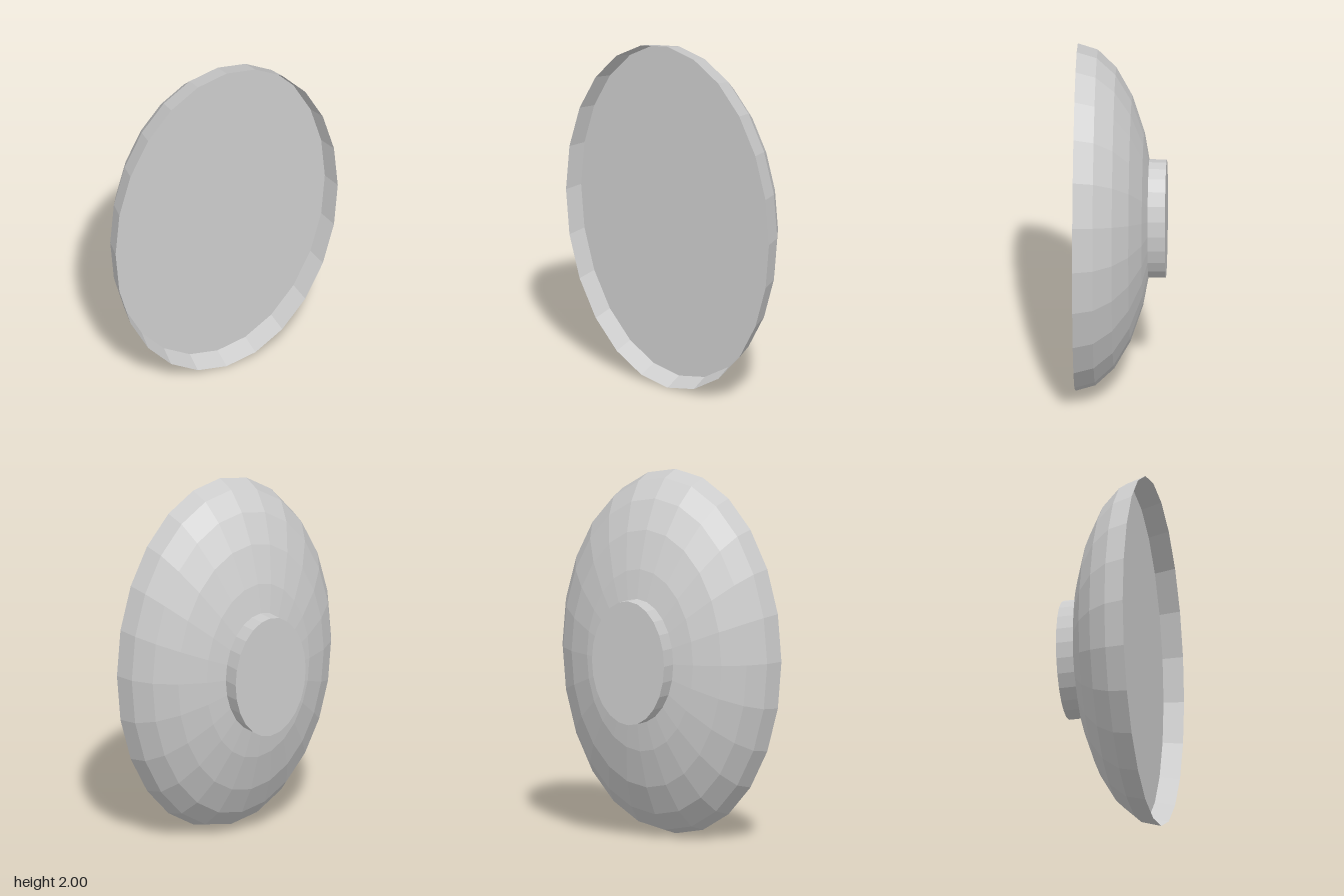
import * as THREE from 'three';

const SIDES = 24;
const WIDTH = 0.676; // x radius of the oval relative to its y radius of 1
const RIM_Z = 0.243;
const DEPTH = 0.42;

export function createModel() {
  const model = new THREE.Group();
  const solid = new THREE.MeshStandardMaterial({ color: 0xcccccc, flatShading: true });
  const shell = solid.clone();
  shell.side = THREE.DoubleSide;

  // Every part is an oval centred on the z axis at mid height
  function add(name, geometry, material) {
    geometry.scale(WIDTH, 1, 1).translate(0, 1, 0);
    const mesh = new THREE.Mesh(geometry, material);
    mesh.name = name;
    model.add(mesh);
  }

  // Domed back shell: a quarter-round profile in 15 degree steps from rim to pole
  const profile = [];
  for (let i = 0; i <= 6; i++) {
    const a = (i * Math.PI) / 12;
    profile.push(new THREE.Vector2(i === 6 ? 0 : Math.cos(a), DEPTH * Math.sin(a) - RIM_Z));
  }
  add('backShell', new THREE.LatheGeometry(profile, SIDES).rotateX(-Math.PI / 2), shell);

  // Flat front panel, recessed to the second ring of the shell
  const panelZ = RIM_Z - DEPTH * Math.sin(Math.PI / 12);
  add('frontPanel', new THREE.CircleGeometry(Math.cos(Math.PI / 12), SIDES).translate(0, 0, panelZ), solid);

  // Short mounting boss on the back
  const bossFront = -0.12, bossBack = -0.243;
  const boss = new THREE.CylinderGeometry(0.34, 0.34, bossFront - bossBack, SIDES)
    .rotateX(-Math.PI / 2)
    .translate(0, 0, (bossFront + bossBack) / 2);
  add('mountingBoss', boss, solid);

  return model;
}
